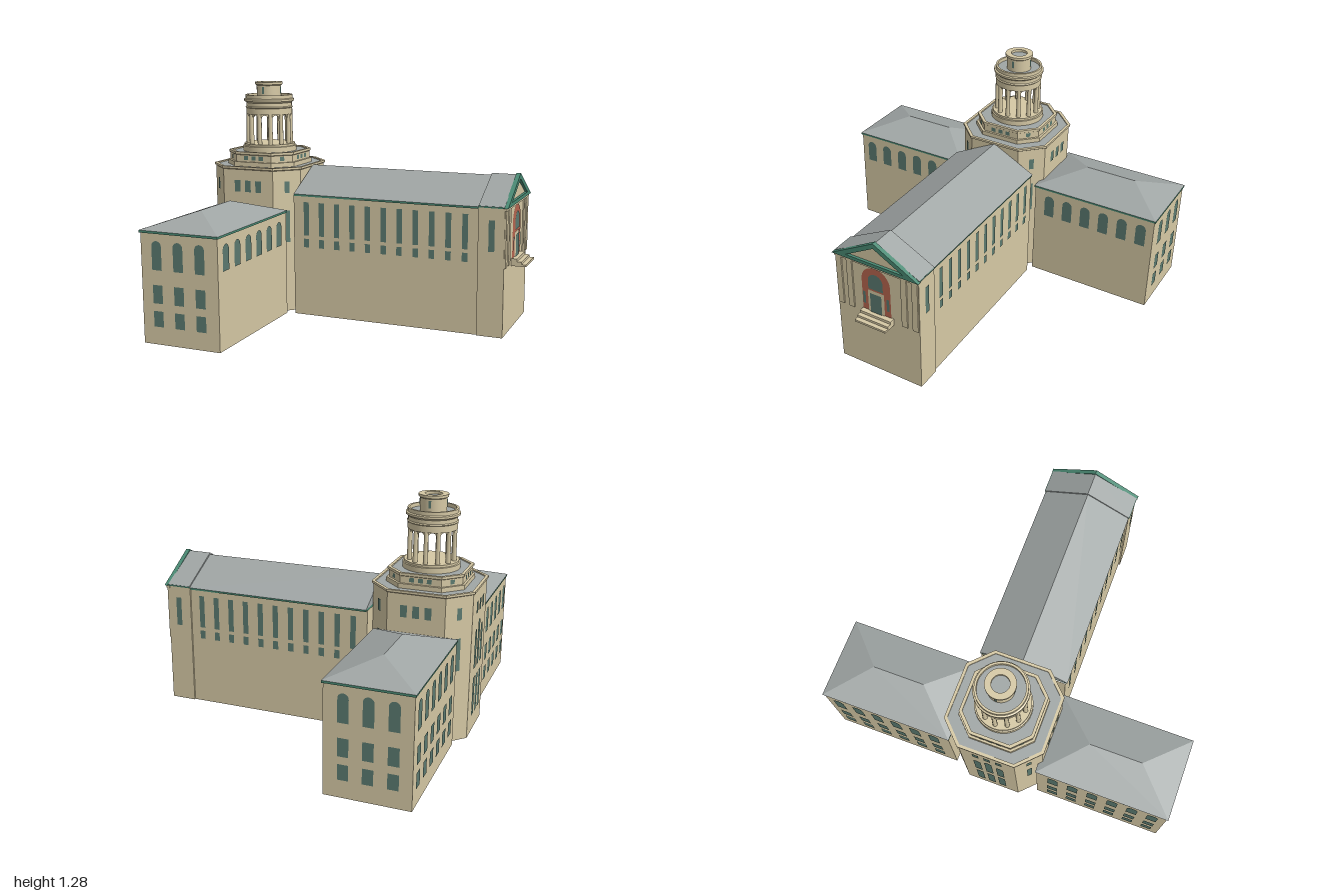
import * as THREE from 'three';
import { toCreasedNormals } from 'three/addons/utils/BufferGeometryUtils.js';

const mat = (name, color, side = THREE.DoubleSide) => {
  const m = new THREE.MeshStandardMaterial({ color, side });
  m.name = name;
  return m;
};
const stone = mat('stone', 0xd6c9a5);
const slate = mat('slate', 0xa0a6a5);
const glass = mat('glass', 0x5b7a70);
const copper = mat('copper', 0x4a8a74);
const brick = mat('brick', 0xb5654f);

const TX = -0.635; // tower axis

function add(parent, name, geo, material, x = 0, y = 0, z = 0, ry = 0) {
  const m = new THREE.Mesh(geo, material);
  m.name = name;
  m.position.set(x, y, z);
  m.rotation.y = ry;
  parent.add(m);
  return m;
}

const box = (parent, name, m, x0, x1, y0, y1, z0, z1) =>
  add(parent, name, new THREE.BoxGeometry(x1 - x0, y1 - y0, z1 - z0), m, (x0 + x1) / 2, (y0 + y1) / 2, (z0 + z1) / 2);

// Skin over equal-length closed cross-sections, with flat faces
function loft(sections) {
  const v = [];
  for (let s = 0; s + 1 < sections.length; s++) {
    const a = sections[s], b = sections[s + 1], n = a.length;
    for (let i = 0; i < n; i++) {
      const j = (i + 1) % n;
      v.push(...a[i], ...b[j], ...a[j], ...a[i], ...b[i], ...b[j]);
    }
  }
  const g = new THREE.BufferGeometry();
  g.setAttribute('position', new THREE.Float32BufferAttribute(v, 3));
  g.computeVertexNormals();
  return g;
}
const rect = (x0, x1, z0, z1, y) => [[x0, y, z0], [x1, y, z0], [x1, y, z1], [x0, y, z1]];
// Square of half-size h with its corners cut back to half-width f
const octagon = (h, f, y) =>
  [[-f, -h], [f, -h], [h, -f], [h, f], [f, h], [-f, h], [-h, f], [-h, -f]].map(([x, z]) => [x, y, z]);
const octLoft = (rows) => loft(rows.map(([h, f, y]) => octagon(h, f, y)));

// Flat window outline standing on its sill, optionally round-headed
function opening(w, h, arched) {
  const s = new THREE.Shape(), r = w / 2;
  s.moveTo(-r, 0);
  s.lineTo(r, 0);
  if (arched) {
    s.lineTo(r, h - r);
    s.absarc(0, h - r, r, 0, Math.PI, false);
  } else {
    s.lineTo(r, h);
    s.lineTo(-r, h);
  }
  s.closePath();
  return s;
}
const pane = (parent, name, m, w, y0, y1, arched, x, z, ry) =>
  add(parent, name, new THREE.ShapeGeometry(opening(w, y1 - y0, arched), 8), m, x, y0, z, ry);

// Triangular prism along x, optionally hollowed to a frame
function gable(x0, x1, half, y0, y1, hole) {
  const tri = (p, h, a, b) => { p.moveTo(-h, a); p.lineTo(h, a); p.lineTo(0, b); p.closePath(); return p; };
  const s = tri(new THREE.Shape(), half, y0, y1);
  if (hole) {
    const a = y0 + 0.02, b = y1 - 0.03;
    s.holes.push(tri(new THREE.Path(), half * (b - a) / (y1 - y0), a, b));
  }
  return new THREE.ExtrudeGeometry(s, { depth: x1 - x0, bevelEnabled: false }).rotateY(Math.PI / 2).translate(x0, 0, 0);
}

const lathe = (pts) =>
  toCreasedNormals(new THREE.LatheGeometry(pts.map((p) => new THREE.Vector2(...p)), 40), 0.5);

// Side wing reaching out along +z from the tower; s = -1 mirrors it to the back
function wing(s) {
  const g = new THREE.Group();
  g.name = s > 0 ? 'frontWing' : 'backWing';
  const zr = (a, b) => (s > 0 ? [a, b] : [-b, -a]);
  const x0 = -0.852, x1 = -0.41, xm = (x0 + x1) / 2;
  const [a, b] = zr(0.255, 0.993), [c, d] = zr(0.25, 1), [e, f] = zr(0.48, 0.775);
  add(g, 'wingWalls', loft([rect(x0, x1, a, b, 0), rect(x0, x1, a, b, 0.58)]), stone);
  box(g, 'wingEaves', copper, x0 - 0.005, x1 + 0.005, 0.577, 0.589, c, d);
  add(g, 'wingRoof', loft([rect(x0 - 0.007, x1 + 0.007, c, d, 0.589), rect(xm, xm, e, f, 0.667)]), slate);
  const rows = [[0.095, 0.177], [0.217, 0.313], [0.39, 0.54, true]];
  for (const [y0, y1, arched] of rows) {
    for (let i = -1; i <= 1; i++)
      pane(g, 'endWindow', glass, 0.056, y0, y1, arched, TX + i * 0.124, s * 0.997, s > 0 ? 0 : Math.PI);
    for (let i = 0; i < 6; i++) {
      const z = s * (0.35 + i * 0.114);
      pane(g, 'outerWindow', glass, 0.06, y0, y1, arched, x0 - 0.004, z, -Math.PI / 2);
      if (arched) pane(g, 'innerWindow', glass, 0.06, 0.405, y1, true, x1 + 0.004, z, Math.PI / 2);
    }
  }
  return g;
}

function hall() {
  const g = new THREE.Group();
  g.name = 'hall';
  add(g, 'hallWalls', loft([rect(-0.365, 0.69, -0.245, 0.245, 0), rect(-0.365, 0.69, -0.245, 0.245, 0.68)]), stone);
  box(g, 'hallEaves', copper, -0.36, 0.69, 0.674, 0.685, -0.252, 0.252);
  add(g, 'hallRoof', gable(-0.36, 0.695, 0.255, 0.685, 0.815), slate);
  add(g, 'porchWalls', loft([rect(0.69, 0.83, -0.254, 0.254, 0), rect(0.69, 0.83, -0.254, 0.254, 0.69)]), stone);
  add(g, 'porchRoof', gable(0.692, 0.828, 0.261, 0.69, 0.825), slate);
  box(g, 'porchEaves', copper, 0.692, 0.83, 0.683, 0.692, -0.259, 0.259);
  add(g, 'pedimentFrame', gable(0.824, 0.848, 0.264, 0.685, 0.832, true), copper);
  add(g, 'tympanum', gable(0.82, 0.833, 0.245, 0.69, 0.82), stone);
  box(g, 'entablature', stone, 0.82, 0.84, 0.67, 0.686, -0.256, 0.256);

  // Tall and low windows along both sides
  for (const s of [1, -1]) {
    const ry = s > 0 ? 0 : Math.PI;
    for (let i = 0; i < 11; i++) {
      const x = -0.287 + i * 0.0907;
      pane(g, 'tallWindow', glass, 0.031, 0.455, 0.642, false, x, s * 0.249, ry);
      pane(g, 'lowWindow', glass, 0.031, 0.388, 0.436, false, x, s * 0.249, ry);
    }
    pane(g, 'porchWindow', glass, 0.032, 0.455, 0.62, false, 0.763, s * 0.258, ry);
    for (const z of [0.232, 0.166])
      box(g, 'pilaster', stone, 0.828, 0.838, 0.37, 0.67, s * z - 0.017, s * z + 0.017);
  }

  // Arched entrance with its steps
  const front = Math.PI / 2;
  pane(g, 'doorSurround', brick, 0.175, 0.385, 0.668, true, 0.834, 0.005, front);
  pane(g, 'fanlight', glass, 0.09, 0.535, 0.632, true, 0.838, 0.005, front);
  pane(g, 'doorFrame', stone, 0.1, 0.385, 0.525, false, 0.837, 0.005, front);
  pane(g, 'door', glass, 0.07, 0.385, 0.51, false, 0.841, 0.005, front);
  for (const s of [1, -1])
    pane(g, 'sideLight', glass, 0.016, 0.43, 0.505, false, 0.838, 0.005 + s * 0.073, front);
  [[0.862, 0.375, 0.39], [0.886, 0.362, 0.375], [0.91, 0.35, 0.362]].forEach(([x, y0, y1]) =>
    box(g, 'step', stone, 0.828, x, y0, y1, -0.095, 0.095));
  return g;
}

function tower() {
  const g = new THREE.Group();
  g.name = 'tower';
  g.position.x = TX;
  add(g, 'towerWalls', octLoft([[0.27, 0.155, 0], [0.27, 0.155, 0.805], [0.278, 0.158, 0.81], [0.278, 0.158, 0.822],
    [0.262, 0.15, 0.822], [0.262, 0.15, 0.814]]), stone);
  add(g, 'towerRoof', octLoft([[0.263, 0.15, 0.815], [0, 0, 0.815]]), slate);
  add(g, 'upperTier', octLoft([[0.212, 0.116, 0.815], [0.212, 0.116, 0.84], [0.2, 0.11, 0.84], [0.2, 0.11, 0.878],
    [0.206, 0.113, 0.882], [0.206, 0.113, 0.896], [0.19, 0.104, 0.896], [0.19, 0.104, 0.888]]), stone);
  add(g, 'upperTierRoof', octLoft([[0.191, 0.105, 0.889], [0, 0, 0.889]]), slate);

  for (let k = 0; k < 8; k++) {
    const a = k * Math.PI / 4, diag = k % 2 === 1;
    // Window at distance d from the axis, shifted sideways by u
    const at = (name, d, u, w, y0, y1, arched) =>
      pane(g, name, glass, w, y0, y1, arched, Math.sin(a) * d + Math.cos(a) * u, Math.cos(a) * d - Math.sin(a) * u, a);
    const d1 = diag ? (0.27 + 0.155) / Math.SQRT2 + 0.004 : 0.274;
    const d2 = diag ? 0.31 / Math.SQRT2 + 0.003 : 0.203;
    for (const u of diag ? [0] : [-0.065, 0, 0.065]) {
      if (k !== 2) at('towerWindow', d1, u, diag ? 0.028 : 0.036, 0.68, 0.745);
      at('tierWindow', d2, u * 0.72, 0.026, 0.85, 0.873);
      if (k === 6) {
        at('tallTowerWindow', d1, u, 0.042, 0.37, u ? 0.59 : 0.63, true);
        at('lowTowerWindow', d1, u, 0.042, 0.1, 0.32);
      }
    }
    if (diag) at('cornerWindow', d1, 0, 0.028, 0.4, 0.58);
    if (!diag) at('lanternWindow', 0.0735, 0, 0.014, 1.215, 1.255);
  }

  // Round colonnade: base, arched bays, columns and entablature
  add(g, 'rotundaBase', lathe([[0.153, 0.888], [0.153, 0.918], [0.146, 0.92], [0.146, 0.932], [0, 0.932]]), stone);
  const N = 12, R = 0.12, hw = R * Math.tan(Math.PI / N);
  const bay = new THREE.Shape();
  bay.moveTo(-hw, 0);
  bay.lineTo(-0.021, 0);
  bay.lineTo(-0.021, 0.145);
  bay.absarc(0, 0.145, 0.021, Math.PI, 0, true);
  bay.lineTo(0.021, 0);
  bay.lineTo(hw, 0);
  bay.lineTo(hw, 0.18);
  bay.lineTo(-hw, 0.18);
  bay.closePath();
  const bayGeo = new THREE.ExtrudeGeometry(bay, { depth: 0.012, bevelEnabled: false, curveSegments: 6 }).translate(0, 0, R - 0.012);
  const column = new THREE.CylinderGeometry(0.011, 0.013, 0.175, 12);
  for (let i = 0; i < N; i++) {
    const a = (i + 0.5) * 2 * Math.PI / N, b = a + Math.PI / N;
    add(g, 'archedBay', bayGeo, stone, 0, 0.93, 0, a);
    add(g, 'column', column, stone, Math.sin(b) * 0.121, 1.018, Math.cos(b) * 0.121);
  }
  add(g, 'rotundaEntablature', lathe([[0, 1.1], [0.132, 1.1], [0.132, 1.135], [0.136, 1.14], [0.13, 1.145], [0.13, 1.165],
    [0.143, 1.175], [0.143, 1.186], [0.134, 1.19], [0.134, 1.21], [0.122, 1.21], [0.122, 1.185]]), stone);
  add(g, 'rotundaRoof', lathe([[0.123, 1.19], [0, 1.19]]), slate);
  add(g, 'lantern', lathe([[0.07, 1.185], [0.07, 1.262], [0.079, 1.268], [0.079, 1.282], [0.046, 1.282], [0.046, 1.265]]), stone);
  add(g, 'lanternRoof', lathe([[0.047, 1.268], [0, 1.268]]), slate);
  return g;
}

export function createModel() {
  const model = new THREE.Group();
  model.name = 'building';
  model.add(wing(1), wing(-1), hall(), tower());
  return model;
}
